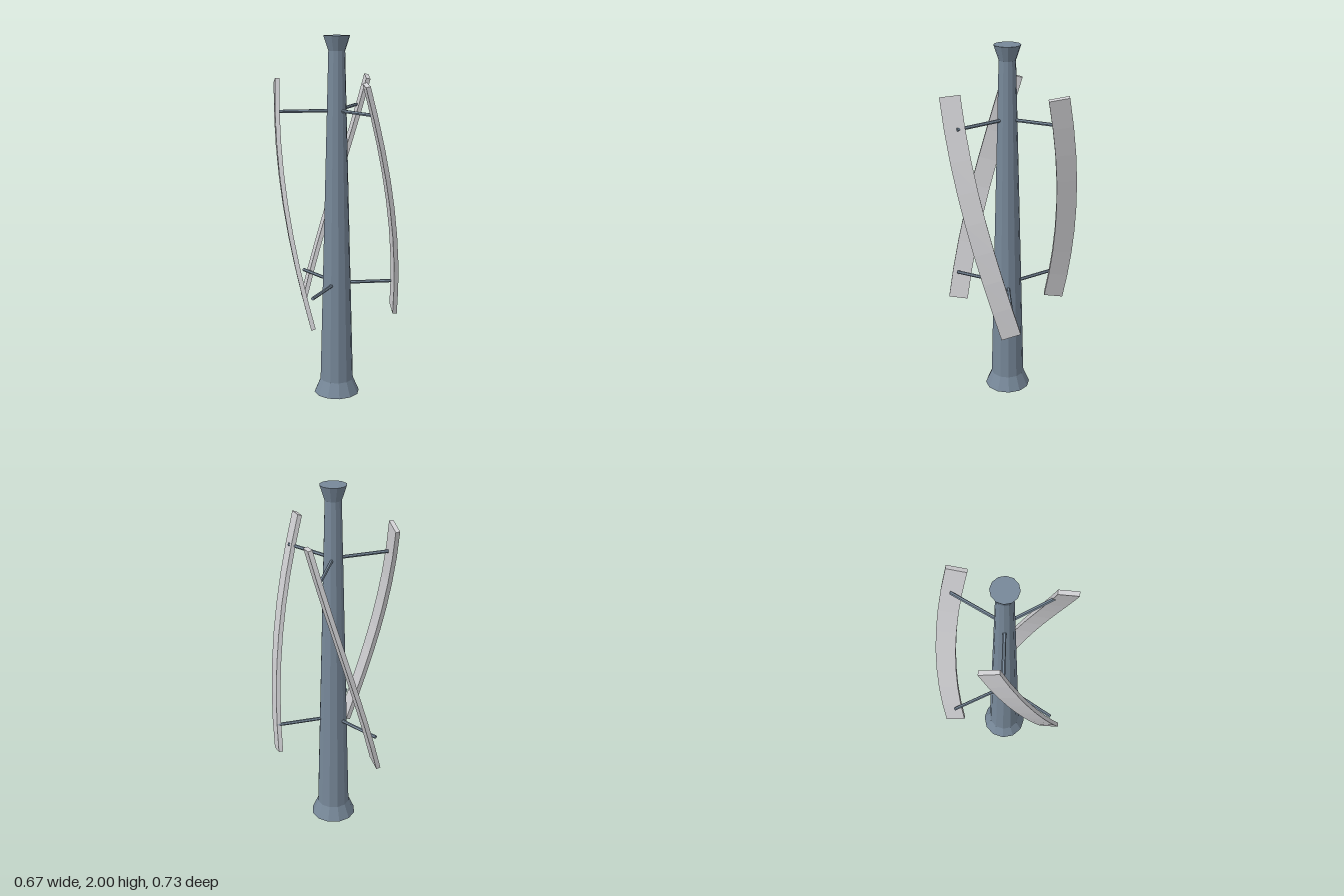
import * as THREE from 'three';

const AXIS_Z = 0.0095; // the mast stands slightly in front of the centre
const RADIUS = 0.321;

// Point at a compass angle (degrees from -z towards +x) around the mast
function around(deg, r, y) {
  const a = THREE.MathUtils.degToRad(deg);
  return new THREE.Vector3(Math.sin(a) * r, y, -Math.cos(a) * r);
}

// Rectangular bar swept along a helix, its wide side always facing x
function bladeGeometry(offset) {
  const steps = 8, halfWidth = 0.054, halfThick = 0.012;
  const at = (t) => around(offset - 30 + 69 * t, RADIUS, 0.482 + 1.283 * t);
  const rings = [];
  for (let i = 0; i <= steps; i++) {
    const t = i / steps;
    const tangent = at(t + 0.01).sub(at(t - 0.01)).normalize();
    const wide = new THREE.Vector3(0, 0, 1);
    wide.addScaledVector(tangent, -tangent.z).normalize();
    const thin = new THREE.Vector3().crossVectors(tangent, wide);
    rings.push([[1, 1], [-1, 1], [-1, -1], [1, -1]].map(([a, b]) =>
      at(t).addScaledVector(thin, a * halfThick).addScaledVector(wide, b * halfWidth)));
  }
  const pos = [];
  const quad = (a, b, c, d) => [a, b, c, a, c, d].forEach((p) => pos.push(p.x, p.y, p.z));
  for (let i = 0; i < steps; i++) {
    for (let k = 0; k < 4; k++) {
      const n = (k + 1) % 4;
      quad(rings[i][k], rings[i + 1][k], rings[i + 1][n], rings[i][n]);
    }
  }
  // End caps
  const [b, e] = [rings[0], rings[steps]];
  quad(b[0], b[1], b[2], b[3]);
  quad(e[3], e[2], e[1], e[0]);
  const geo = new THREE.BufferGeometry();
  geo.setAttribute('position', new THREE.Float32BufferAttribute(pos, 3));
  geo.computeVertexNormals();
  return geo;
}

export function createModel() {
  const model = new THREE.Group();
  model.name = 'verticalWindTurbine';
  const steel = new THREE.MeshStandardMaterial({ color: 0x778899, flatShading: true });
  steel.name = 'slateSteel';
  const pale = new THREE.MeshStandardMaterial({ color: 0xd0d0d3, flatShading: true });
  pale.name = 'paleGrey';

  const rotor = new THREE.Group();
  rotor.name = 'turbine';
  rotor.position.z = AXIS_Z;
  model.add(rotor);

  const add = (name, geo, mat) => {
    const mesh = new THREE.Mesh(geo, mat);
    mesh.name = name;
    rotor.add(mesh);
    return mesh;
  };

  // Twelve-sided mast with flared foot and head
  const profile = [[0, 0], [0.127, 0], [0.0925, 0.08], [0.045, 1.92], [0.0715, 2], [0, 2]];
  add('mast', new THREE.LatheGeometry(profile.map((p) => new THREE.Vector2(...p)), 12), steel);

  // Strut running out from the mast
  const strut = (name, deg, y, r) => {
    const inner = 0.03;
    const mesh = add(name, new THREE.CylinderGeometry(0.0095, 0.0095, r - inner, 6), steel);
    mesh.position.copy(around(deg, (r + inner) / 2, y));
    mesh.quaternion.setFromUnitVectors(new THREE.Vector3(0, 1, 0), around(deg, 1, 0));
  };

  // Three helical blades, each on two struts
  for (let i = 0; i < 3; i++) {
    const offset = i * 120;
    add('blade' + (i + 1), bladeGeometry(offset), pale);
    strut('upperStrut' + (i + 1), offset + 27.2, 1.605, 0.318);
    strut('lowerStrut' + (i + 1), offset - 30, 0.645, 0.322);
  }
  return model;
}
